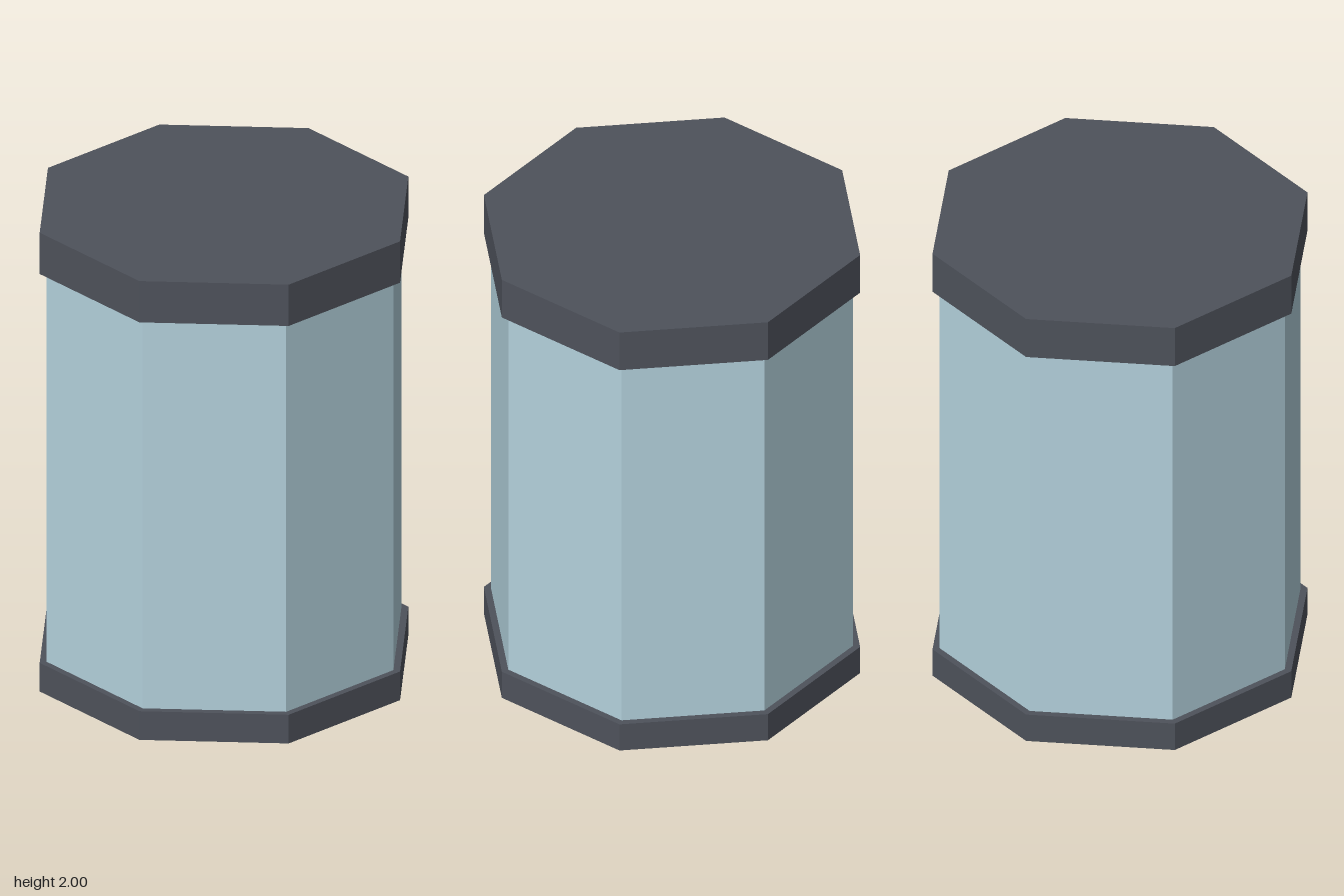
import * as THREE from 'three';

export function createModel() {
  const group = new THREE.Group();
  group.name = 'canister';

  const glass = new THREE.MeshStandardMaterial({ color: 0xb3d1dc, flatShading: true });
  glass.name = 'pale blue glass';
  const metal = new THREE.MeshStandardMaterial({ color: 0x4e525b, flatShading: true });
  metal.name = 'dark grey metal';

  // Upright eight-sided prism between two heights
  const prism = (name, radius, bottom, top, material) => {
    const mesh = new THREE.Mesh(
      new THREE.CylinderGeometry(radius, radius, top - bottom, 8),
      material
    );
    mesh.name = name;
    mesh.position.y = (bottom + top) / 2;
    group.add(mesh);
  };

  prism('base', 0.767, 0, 0.125, metal);
  prism('body', 0.738, 0.06, 1.9, glass); // ends tucked inside base and lid
  prism('lid', 0.767, 1.82, 2, metal);

  return group;
}
